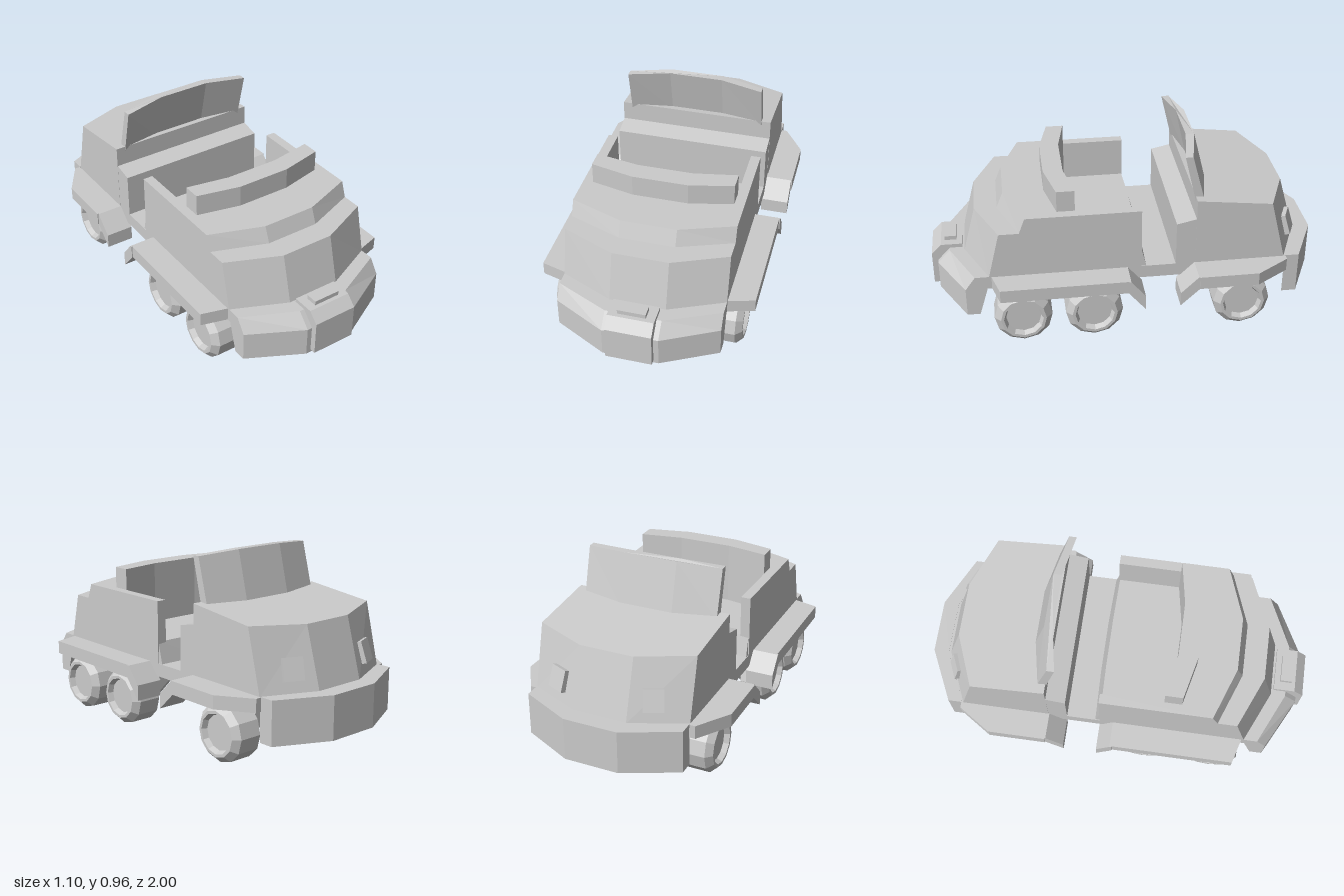
import * as THREE from 'three';

const material = new THREE.MeshStandardMaterial({ color: 0xcccccc, flatShading: true });

function add(parent, name, geometry) {
  const mesh = new THREE.Mesh(geometry, material);
  mesh.name = name;
  parent.add(mesh);
  return mesh;
}

// Closed solid through rings of [x, y, z] points, capped at both ends
function loft(rings) {
  const n = rings[0].length, pos = [];
  const tri = (a, b, c) => pos.push(...a, ...b, ...c);
  for (let k = 0; k < rings.length - 1; k++) {
    for (let i = 0; i < n; i++) {
      const j = (i + 1) % n, A = rings[k], B = rings[k + 1];
      tri(A[i], A[j], B[j]);
      tri(A[i], B[j], B[i]);
    }
  }
  const flat = (r) => r.map((p) => new THREE.Vector2(p[0], p[2]));
  const ccw = THREE.ShapeUtils.area(flat(rings[0])) > 0;
  for (const [ring, first] of [[rings[0], true], [rings[rings.length - 1], false]]) {
    for (const f of THREE.ShapeUtils.triangulateShape(flat(ring), [])) {
      const [a, b, c] = f.map((i) => ring[i]);
      const area = (b[0] - a[0]) * (c[2] - a[2]) - (c[0] - a[0]) * (b[2] - a[2]);
      if ((area > 0) === (ccw !== first)) tri(a, b, c);
      else tri(a, c, b);
    }
  }
  // Turn the faces outward when the enclosed volume is negative
  let volume = 0;
  const v = (i) => new THREE.Vector3().fromArray(pos, i);
  for (let i = 0; i < pos.length; i += 9) volume += v(i).dot(v(i + 3).cross(v(i + 6)));
  if (volume < 0) {
    for (let i = 0; i < pos.length; i += 9) {
      for (let k = 3; k < 6; k++) [pos[i + k], pos[i + k + 3]] = [pos[i + k + 3], pos[i + k]];
    }
  }
  const g = new THREE.BufferGeometry();
  g.setAttribute('position', new THREE.Float32BufferAttribute(pos, 3));
  g.computeVertexNormals();
  return g;
}

// Three-sided bow from +x to -x: corner depth zc, middle depth zm
const bow = (w, y, zc, zm, yc = y) => [[w, yc, zc], [0.14, y, zm], [-0.14, y, zm], [-w, yc, zc]];
// Bow closed by a second bow or a straight back
const band = (w, y, zc, zm, bc, bm = bc, yc = y) =>
  [...bow(w, y, zc, zm, yc), ...bow(w, y, bc, bm, yc).reverse()];
const box = (w, h, d, x, y, z) => new THREE.BoxGeometry(w, h, d).translate(x, y, z);

// Side profile of [z, y] points swept from x0 to x1
function sweep(profile, x0, x1) {
  const g = new THREE.ExtrudeGeometry(
    new THREE.Shape(profile.map(([z, y]) => new THREE.Vector2(-z, y))),
    { depth: x1 - x0, bevelEnabled: false });
  return g.rotateY(Math.PI / 2).translate(x0, 0, 0);
}

export function createModel() {
  const model = new THREE.Group();
  model.name = 'openTopCar';

  // Floor plate running the whole length
  const plate = (y) => [...bow(0.409, y, 0.74, 0.88), ...bow(0.409, y, -0.82, -0.93).reverse()];
  add(model, 'chassis', loft([plate(0.3), plate(0.368)]));

  // Front cabin, a U shape open to the rear, with a stepped bonnet
  const cabin = (y, zc, zm) => [
    [0.41, y, -0.055], ...bow(0.41, y, zc, zm), [-0.41, y, -0.055],
    [-0.36, y, -0.055], ...bow(0.36, y, 0.27, 0.31).reverse(), [0.36, y, -0.055],
  ];
  add(model, 'frontCabin', loft([
    cabin(0.365, 0.71, 0.83), cabin(0.61, 0.65, 0.765), cabin(0.61, 0.55, 0.65), cabin(0.69, 0.52, 0.617),
  ]));
  add(model, 'cabinFloor', loft([
    band(0.405, 0.365, 0.3, 0.33, -0.08, -0.088), band(0.405, 0.48, 0.3, 0.33, -0.052, -0.058),
  ]));
  add(model, 'dashboard', loft([
    band(0.36, 0.685, 0.36, 0.41, 0.27, 0.31), band(0.36, 0.8, 0.36, 0.41, 0.27, 0.31),
  ]));

  // Rear body with a sloping deck, and the bench in front of it
  const rearTop = band(0.41, 0.67, -0.71, -0.82, -0.33).map((p, i) => (i > 3 ? [p[0], 0.725, p[2]] : p));
  rearTop[0][1] = rearTop[3][1] = 0.682;
  add(model, 'rearBody', loft([band(0.41, 0.365, -0.79, -0.908, -0.33), rearTop]));
  add(model, 'bench', sweep([[-0.23, 0.3], [-0.36, 0.3], [-0.36, 0.63], [-0.33, 0.622], [-0.23, 0.6]], -0.409, 0.409));

  // Curved headrest leaning forward
  add(model, 'headrest', loft([
    band(0.36, 0.7, -0.33, -0.37, -0.375, -0.42),
    band(0.36, 0.96, -0.272, -0.312, -0.31, -0.355, 0.944),
  ]));

  // Front bumper shell with a chamfered upper edge
  add(model, 'frontBumper', loft([
    band(0.41, 0.15, 0.83, 0.97, 0.765, 0.89),
    band(0.41, 0.3, 0.83, 0.97, 0.72, 0.86),
    band(0.41, 0.37, 0.78, 0.905, 0.7, 0.82),
  ]));
  add(model, 'frontPlate', sweep(
    [[0.84, 0.165], [1, 0.165], [1, 0.34], [0.95, 0.39], [0.84, 0.39]], -0.115, 0.115));
  add(model, 'plateCap', box(0.14, 0.03, 0.06, 0, 0.397, 0.9));

  // Rear bumper shell
  add(model, 'rearBumper', loft([
    band(0.41, 0.15, -0.87, -1, -0.795, -0.92), band(0.41, 0.37, -0.87, -1, -0.795, -0.92),
  ]));

  // Wheel with outer chamfer and sunken hub, axis along +x
  const wheelGeometry = new THREE.LatheGeometry(
    [[0, 0], [0.146, 0], [0.146, 0.12], [0.115, 0.152], [0.1, 0.152], [0.088, 0.125], [0, 0.125]]
      .map(([r, h]) => new THREE.Vector2(r, h)), 12)
    .rotateZ(-Math.PI / 2);
  // Slanted arm joining each wheel to the floor
  const armGeometry = new THREE.CylinderGeometry(0.1, 0.1, 0.36, 8)
    .rotateY(Math.PI / 8).rotateZ(0.93).translate(0.245, 0.238, 0);

  for (const s of [1, -1]) {
    const side = s > 0 ? 'left' : 'right';
    const mx = (pts) => pts.map(([x, y, z]) => [s * x, y, z]);
    const slab = (outline) => loft([0.3, 0.368].map((y) => mx(outline.map(([x, z]) => [x, y, z]))));
    const x0 = s > 0 ? 0.4 : -0.545, x1 = s > 0 ? 0.545 : -0.4;

    // Flat fenders with a bent-down flap
    add(model, side + 'FrontFender', slab([[0.4, 0.02], [0.54, 0.02], [0.54, 0.66], [0.4, 0.7]]));
    add(model, side + 'FrontFlap', sweep(
      [[0.025, 0.3], [0.025, 0.368], [0.015, 0.368], [-0.058, 0.28], [-0.058, 0.2]], x0, x1));
    add(model, side + 'RearFender', slab([[0.4, -0.33], [0.55, -0.33], [0.55, -0.63], [0.44, -0.8], [0.4, -0.8]]));
    add(model, side + 'RearFlap', sweep(
      [[-0.335, 0.3], [-0.335, 0.368], [-0.325, 0.368], [-0.235, 0.28], [-0.235, 0.205]], x0, x1));

    // Tail light lying on the slanted rear face
    const lamp = add(model, side + 'TailLight', new THREE.BoxGeometry(0.1, 0.11, 0.05));
    lamp.position.set(s * 0.245, 0.475, -0.83);
    lamp.rotation.order = 'YXZ';
    lamp.rotation.set(0.3, -s * 0.41, 0);

    for (const z of [0.55, 0.19, -0.57]) {
      const assembly = new THREE.Group();
      assembly.name = side + 'WheelAssembly';
      assembly.position.z = z;
      if (s < 0) assembly.rotation.y = Math.PI;
      model.add(assembly);
      add(assembly, 'wheel', wheelGeometry).position.set(0.33, 0.148, 0);
      add(assembly, 'arm', armGeometry);
    }
  }
  return model;
}
